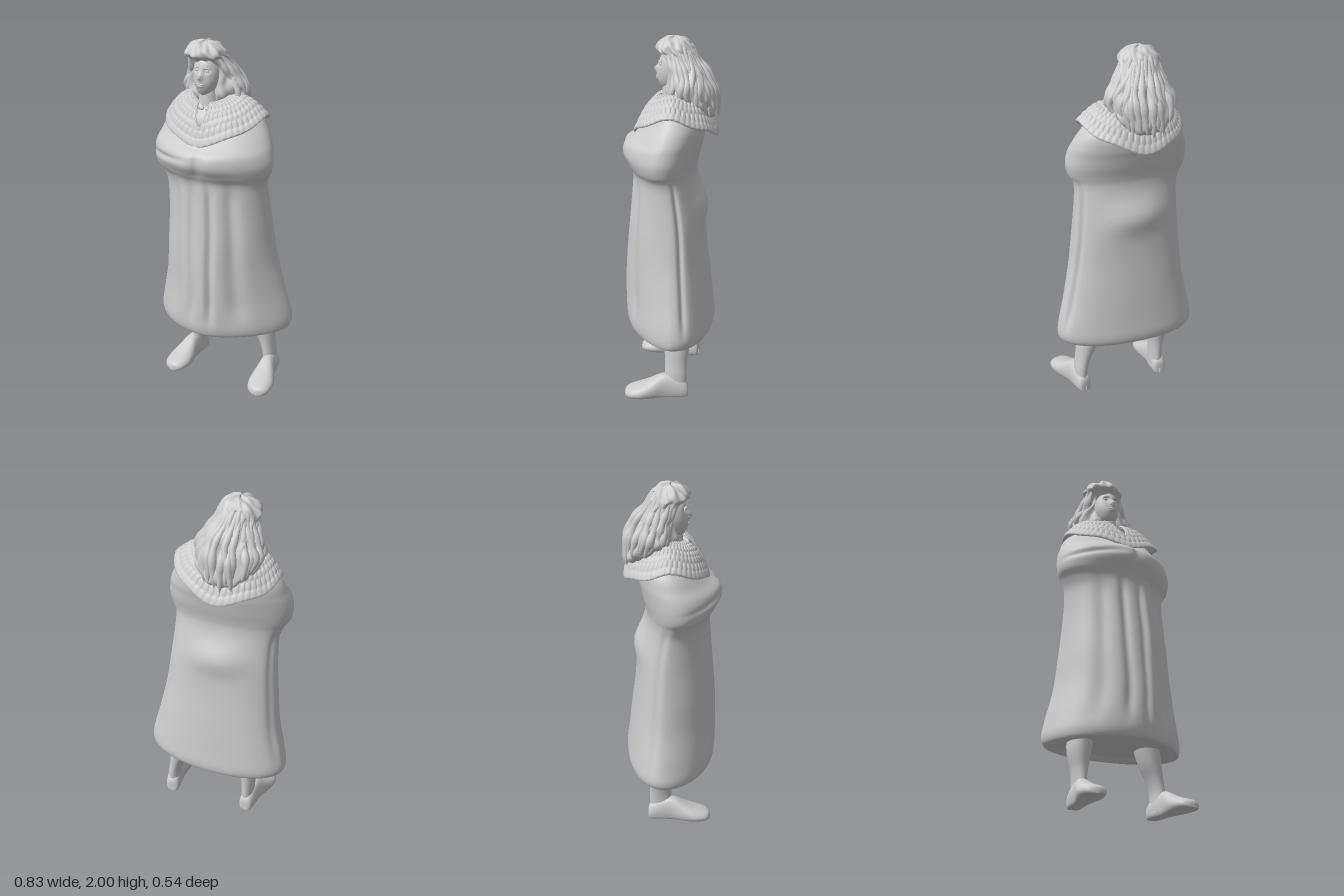
import * as THREE from 'three';

const grey = new THREE.MeshStandardMaterial({ color: 0xcccccc, side: THREE.DoubleSide });
const { sin, cos, exp, abs, max, PI } = Math;
const bell = (x, c, w) => exp(-(((x - c) / w) ** 2));
const mix = THREE.MathUtils.lerp;
const step = THREE.MathUtils.smoothstep;
const soft = (s, p) => Math.sign(s) * abs(s) ** p;

function mesh(name, geometry, parent) {
  const m = new THREE.Mesh(geometry, grey);
  m.name = name;
  parent.add(m);
  return m;
}

// Smooth sampling of a table of cross-sections, t in 0..1
function sample(rows, t) {
  const f = t * (rows.length - 1), i = Math.min(Math.floor(f), rows.length - 2), k = f - i;
  const at = (j) => rows[max(0, Math.min(rows.length - 1, j))];
  return rows[0].map((_, c) => {
    const [a, b, d, e] = [at(i - 1)[c], at(i)[c], at(i + 1)[c], at(i + 2)[c]];
    return b + 0.5 * k * (d - a + k * (2 * a - 5 * b + 4 * d - e + k * (3 * (b - d) + e - a)));
  });
}

// Surface closed around u; fn(angle, v) gives [x, y, z], angle 0 faces front
function loft(nu, nv, fn) {
  const pos = [], index = [];
  for (let j = 0; j <= nv; j++)
    for (let i = 0; i < nu; i++) pos.push(...fn((i / nu) * 2 * PI - PI, j / nv));
  for (let j = 0; j < nv; j++)
    for (let i = 0; i < nu; i++) {
      const a = j * nu + i, b = j * nu + ((i + 1) % nu);
      index.push(a, b, b + nu, a, b + nu, a + nu);
    }
  const g = new THREE.BufferGeometry();
  g.setAttribute('position', new THREE.Float32BufferAttribute(pos, 3));
  g.setIndex(index);
  g.computeVertexNormals();
  return g;
}

function ellipsoid(name, parent, [x, y, z], [rx, ry, rz], tilt = [0, 0, 0]) {
  const m = mesh(name, new THREE.SphereGeometry(1, 24, 16), parent);
  m.position.set(x, y, z);
  m.scale.set(rx, ry, rz);
  m.rotation.set(...tilt);
}

// Cloak rows: y, right x, left x, front z, back z, side z
const cloakRows = [
  [0.365, 0, 0, -0.02, -0.02, -0.02], [0.355, -0.3, 0.3, 0.16, -0.17, -0.04],
  [0.33, -0.38, 0.37, 0.22, -0.215, -0.05], [0.325, -0.405, 0.4, 0.245, -0.24, -0.05],
  [0.37, -0.42, 0.415, 0.262, -0.25, -0.06], [0.46, -0.405, 0.402, 0.268, -0.24, -0.06],
  [0.62, -0.368, 0.363, 0.268, -0.222, -0.05], [0.8, -0.35, 0.322, 0.258, -0.2, -0.04],
  [1.0, -0.335, 0.292, 0.24, -0.18, -0.03], [1.18, -0.335, 0.272, 0.225, -0.145, -0.01],
  [1.26, -0.36, 0.275, 0.225, -0.135, 0.01], [1.31, -0.392, 0.3, 0.25, -0.14, 0.03],
  [1.37, -0.4, 0.312, 0.285, -0.155, 0.03], [1.43, -0.392, 0.303, 0.275, -0.168, 0.02],
  [1.48, -0.372, 0.287, 0.21, -0.178, 0], [1.55, -0.34, 0.25, 0.14, -0.18, -0.02],
  [1.61, -0.27, 0.195, 0.1, -0.15, -0.03], [1.64, -0.19, 0.1, 0.06, -0.1, -0.02],
  [1.65, -0.06, -0.06, -0.02, -0.02, -0.02],
];

function cloakPoint(a, v) {
  const [y, xl, xr, zf, zb, zs] = sample(cloakRows, v);
  // the front tapers to the sides, most of all at the left of the hem
  const arms = bell(y, 1.38, 0.12), hem = 1 - step(y, 0.5, 1);
  const front = cos(a) > 0, left = sin(a) > 0;
  const p = !front ? 0.92 : 1.03 + arms * (left ? 0.22 : 0.12) + hem * (left ? 0.27 : 0.07);
  const s = soft(sin(a), p), c = soft(cos(a), p);
  const cx = (xl + xr) / 2, rx = (xr - xl) / 2;
  // vertical drapery folds, fading out under the crossed arms and at the hem lining
  const skirt = step(y, 0.35, 0.55) * (1 - step(y, 1.15, 1.32));
  let d = skirt * (-0.018 * bell(a, -0.2, 0.08) - 0.024 * bell(a, 0.2, 0.07) - 0.022 * bell(a, 0.62, 0.14)
    - 0.012 * bell(a, -0.62, 0.14) - 0.018 * bell(a, 1.9, 0.09) - 0.008 * bell(a, -1.9, 0.14));
  // crease between the forearms, hollow of the chest, lump in the small of the back
  if (v > 0.3) {
    d -= 0.013 * bell(y, 1.41 + 0.03 * a, 0.014) * bell(a, -0.75, 0.5);
    d -= 0.02 * bell(a, 0.1, 0.16) * bell(y, 1.38, 0.09);
    d += 0.035 * bell(y, 1.08, 0.09) * bell(abs(a), PI, 0.5);
  }
  const x = cx + (rx + d) * s;
  const z = zs + (front ? zf - zs + d : zs - zb + d) * c;
  return [x, y + 0.035 * x * (1 - step(y, 0.4, 0.6)), z];
}

// Shoulder cape quilted with rows of scales, open in a V at the throat
function capePoint(a, v) {
  const under = v < 0.12, w = under ? 0 : (v - 0.12) / 0.88;
  const t0 = 0.7 * bell(a, 0, 0.2);
  let t = mix(1, t0, w), drop = 0;
  if (under) {
    const k = 1 - v / 0.12;
    t = 1 - 0.3 * k;
    drop = 0.03 * sin(Math.min(1, k * 2) * PI / 2);
  }
  const r = t * 8, u = (a / (2 * PI)) * 50 + (Math.floor(r) % 2) * 0.3;
  const quilt = under ? 0 : 0.008 * (abs(sin(r * PI)) * abs(sin(u * PI))) ** 0.3 * (1 - step(w, 0.9, 1));
  const cx = mix(-0.075, -0.045, t), cz = mix(-0.005, -0.02, t);
  const rx = mix(0.085, 0.3, t) + quilt * 0.5, rz = mix(0.075, 0.235, t) + quilt * 0.5;
  const edge = 1.59 - 0.115 * cos(a) ** 2 + 0.022 * sin(a) + 0.01 * cos(6 * a) * (cos(a) < 0 ? -1 : -0.8);
  const y = mix(1.7 - 0.02 * cos(a), edge, t) + 0.045 * sin(PI * t) - drop + quilt;
  return [cx + rx * sin(a), y, cz + rz * cos(a)];
}

// Foot rows: z, half width, height
const footRows = [
  [-0.142, 0.002, 0.03], [-0.135, 0.036, 0.08], [-0.08, 0.044, 0.12], [0, 0.046, 0.135],
  [0.07, 0.064, 0.1], [0.13, 0.074, 0.072], [0.19, 0.062, 0.052], [0.217, 0.034, 0.036], [0.224, 0.001, 0.012],
];

function leg(name, parent, side, cx, turn) {
  const g = new THREE.Group();
  g.name = name;
  parent.add(g);
  // y, centre x, half width, half depth
  const rows = [[0.02, cx[0], 0.038, 0.064], [0.12, cx[0], 0.037, 0.064], [0.2, cx[1], 0.044, 0.064],
    [0.3, cx[2], 0.065, 0.074], [0.45, cx[3], 0.075, 0.085]];
  mesh('shin', loft(24, 16, (a, v) => {
    const [y, x, rx, rz] = sample(rows, v);
    return [x + rx * sin(a), y, -0.068 + rz * cos(a)];
  }), g);
  const foot = mesh('foot', loft(28, 28, (a, v) => {
    const [z, w, h] = sample(footRows, v);
    return [-w * soft(sin(a), 0.8), h * max(0, 0.62 * cos(a) + 0.38), z];
  }), g);
  foot.position.x = cx[0] + side * 0.016;
  foot.rotation.y = turn;
}

// Head with narrowing jaw, eye hollows and facial features
function buildHead(parent) {
  const head = new THREE.Group();
  head.name = 'head';
  head.position.set(-0.09, 1.815, 0);
  parent.add(head);
  mesh('face', loft(56, 48, (a, v) => {
    const p = -PI / 2 + v * PI, yy = sin(p), r = cos(p) ** 0.8, y = 0.115 * yy;
    const x = 0.078 * r * (1 - 0.2 * max(0, -yy) ** 1.5) * sin(a);
    let z = 0.09 * r * cos(a);
    if (cos(a) > 0) {
      z += 0.016 * max(0, -yy) - 0.012 * bell(abs(x), 0.03, 0.018) * bell(y, 0.034, 0.014);
      z += 0.022 * bell(x, 0, 0.012) * bell(y, 0.004, 0.022) + 0.008 * bell(x, 0, 0.02) * bell(y, -0.04, 0.014);
    }
    return [x, y, z];
  }), head);
  for (const s of [-1, 1]) {
    ellipsoid('eye', head, [s * 0.03, 0.034, 0.069], [0.013, 0.007, 0.007]);
    ellipsoid('brow', head, [s * 0.031, 0.05, 0.074], [0.02, 0.004, 0.008], [0, s * 0.35, -s * 0.12]);
    ellipsoid('nostril', head, [s * 0.009, -0.005, 0.092], [0.008, 0.006, 0.01]);
  }
  ellipsoid('upperLip', head, [0, -0.035, 0.092], [0.022, 0.005, 0.009], [0, 0, 0]);
  ellipsoid('lowerLip', head, [0, -0.045, 0.091], [0.018, 0.006, 0.01]);
}

// Tapered wavy lock of hair along a curve
function lock(parent, points, radius) {
  const curve = new THREE.CatmullRomCurve3(points.map((p) => new THREE.Vector3(...p)));
  const n = 18, m = 8, g = new THREE.TubeGeometry(curve, n, radius, m);
  const p = g.attributes.position, c = new THREE.Vector3(), q = new THREE.Vector3();
  for (let i = 0; i < p.count; i++) {
    const t = Math.floor(i / (m + 1)) / n;
    curve.getPointAt(t, c);
    q.fromBufferAttribute(p, i).sub(c).multiplyScalar((0.5 + 0.6 * t) * (1 - t ** 6) * (1 + 0.15 * sin(t * 22)));
    p.setXYZ(i, c.x + q.x, c.y + q.y, c.z + q.z);
  }
  g.computeVertexNormals();
  mesh('hairLock', g, parent);
}

// Hair rows: y, right x, left x, front z, back z
const hairRows = [
  [1.63, -0.08, -0.08, -0.1, -0.1], [1.635, -0.18, 0.04, -0.01, -0.2], [1.66, -0.235, 0.08, 0.025, -0.24],
  [1.71, -0.255, 0.095, 0.04, -0.24], [1.78, -0.232, 0.085, 0.035, -0.205], [1.85, -0.21, 0.045, 0.035, -0.155],
  [1.9, -0.215, 0.012, 0.065, -0.125], [1.925, -0.222, 0.008, 0.096, -0.112], [1.955, -0.205, -0.005, 0.088, -0.095],
  [1.985, -0.165, -0.045, 0.055, -0.06], [1.995, -0.105, -0.105, 0, 0],
];

function buildHair(parent) {
  const hair = new THREE.Group();
  hair.name = 'hair';
  parent.add(hair);
  let seed = 7;
  const rnd = () => (seed = (seed * 16807) % 2147483647) / 2147483647 - 0.5;
  // wavy mass: puffed over the brow, spread at the sides, long at the back
  mesh('hairMass', loft(120, 70, (a, v) => {
    const [y, xl, xr, zf, zb] = sample(hairRows, v);
    const rx = (xr - xl) / 2, rz = (zf - zb) / 2;
    const k = 1 + 0.05 * sin(13 * a + 2.5 * sin(26 * y)) + 0.035 * sin(7 * a - 45 * y);
    const fall = 0.075 * max(0, -cos(a)) * (1 - step(y, 1.64, 1.85));
    return [(xl + xr) / 2 + rx * k * sin(a), y - fall + 0.006 * sin(55 * xl + 5 * a) * step(y, 1.9, 1.97),
      (zf + zb) / 2 + rz * k * cos(a)];
  }), hair);
  // locks from one temple round the back to the other
  for (let i = 0; i < 22; i++) {
    const a = mix(1.2, 2 * PI - 1.2, i / 21) + rnd() * 0.1;
    const s = sin(a), c = cos(a), back = max(0, -c), j = () => rnd() * 0.04;
    lock(hair, [
      [-0.107 + 0.08 * s, 1.945 + rnd() * 0.02, -0.01 + 0.08 * c],
      [-0.095 + 0.108 * s, 1.88, -0.03 + 0.1 * c],
      [-0.08 + 0.145 * s + j(), 1.79, -0.065 + 0.125 * c + j()],
      [-0.08 + 0.172 * s + j(), 1.72, -0.075 + 0.15 * c + j()],
      [-0.08 + 0.15 * s + j(), 1.67 - 0.1 * back + rnd() * 0.05, -0.085 + 0.165 * c],
    ], 0.026);
  }
}

export function createModel() {
  const model = new THREE.Group();
  model.name = 'cloakedFigure';
  mesh('cloak', loft(180, 120, cloakPoint), model);
  mesh('shoulderCape', loft(300, 64, capePoint), model);
  leg('leftLeg', model, 1, [0.285, 0.268, 0.237, 0.2], 0.15);
  leg('rightLeg', model, -1, [-0.198, -0.2, -0.203, -0.19], -0.1);

  // neck, chest under the cape opening and small shirt collar
  const neck = mesh('neck', new THREE.CylinderGeometry(0.048, 0.065, 0.16, 24), model);
  neck.position.set(-0.08, 1.68, 0.01);
  ellipsoid('chest', model, [-0.06, 1.57, 0.03], [0.11, 0.09, 0.115]);
  for (const s of [-1, 1])
    ellipsoid('shirtCollar', model, [-0.06 + s * 0.036, 1.655, 0.085], [0.036, 0.016, 0.012], [-0.5, s * 0.4, s * 0.35]);

  buildHead(model);
  buildHair(model);
  return model;
}
